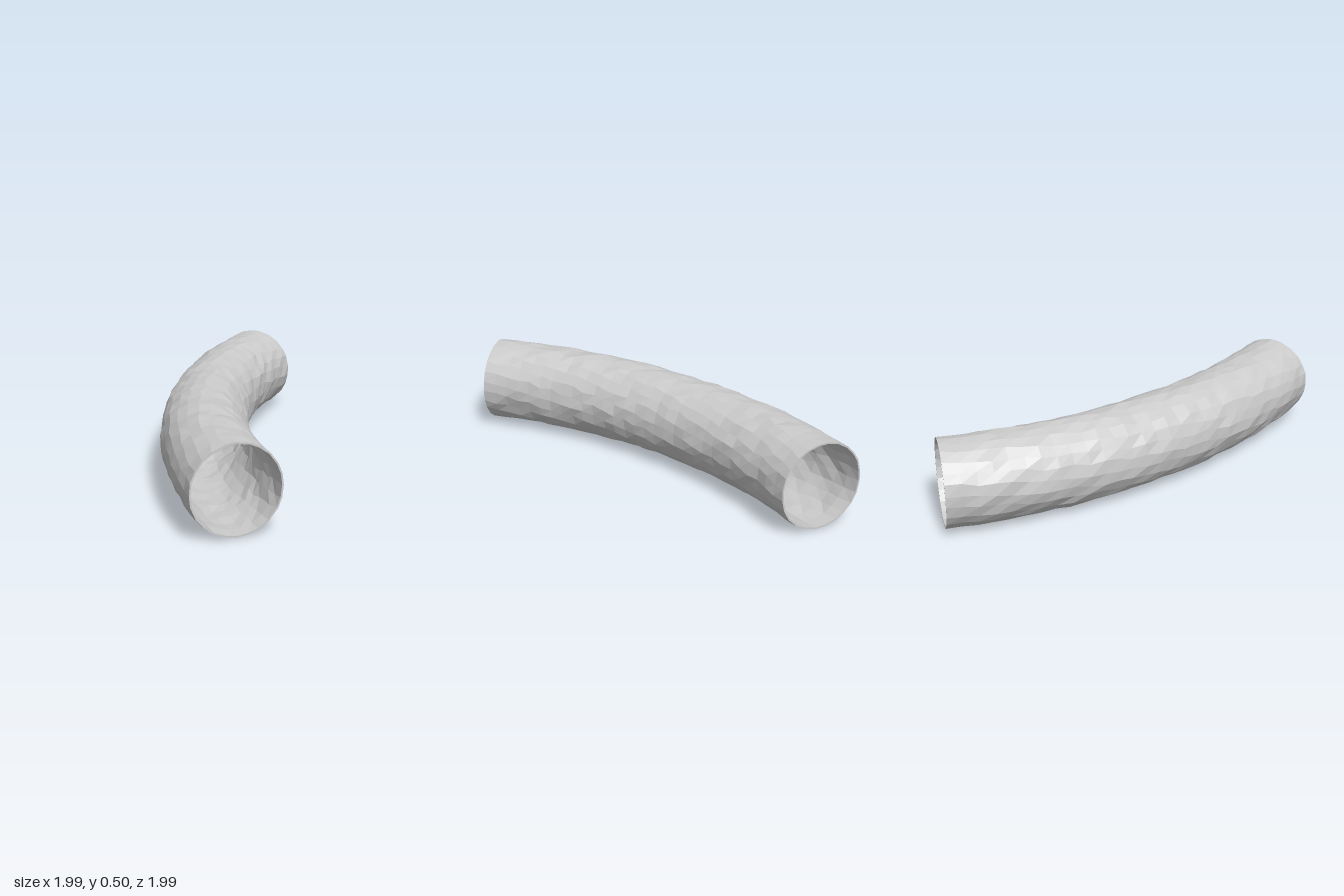
import * as THREE from 'three';
import { ParametricGeometry } from 'three/addons/geometries/ParametricGeometry.js';

const AROUND = 24, ALONG = 30;
const BEND = 3.104, CENTRE = 2.093, HEIGHT = 0.254;
const OUTER = 0.243, INNER = 0.234;

// Repeatable value from -1 to 1 for each grid point of the wall
function rough(i, j) {
  const s = Math.sin(i * 127.1 + j * 311.7) * 43758.5453;
  return (s - Math.floor(s)) * 2 - 1;
}

// Point on the bent pipe: u goes around, v along, r is the nominal radius
function pipePoint(u, v, r, target) {
  const j = Math.round(u * AROUND) % AROUND, i = Math.round(v * ALONG);
  const dent = i === 0 || i === ALONG ? 0.002 : 0.006;
  const radius = r + dent * rough(i, j);
  // facets drift slowly around the pipe
  const a = (j / AROUND) * Math.PI * 2 + v * 1.2 + 0.04 * rough(j + 50, i);
  const bend = Math.PI / 8 + v * Math.PI / 4;
  const d = BEND + radius * Math.cos(a);
  target.set(CENTRE - d * Math.cos(bend), HEIGHT + radius * Math.sin(a), CENTRE - d * Math.sin(bend));
}

export function createModel() {
  const group = new THREE.Group();
  group.name = 'bentPipe';
  const material = new THREE.MeshStandardMaterial({
    color: 0xcccccc, flatShading: true, side: THREE.DoubleSide,
  });
  const add = (name, geometry) => {
    const mesh = new THREE.Mesh(geometry, material);
    mesh.name = name;
    group.add(mesh);
  };

  // Outer and inner walls
  for (const [name, r] of [['outerWall', OUTER], ['innerWall', INNER]]) {
    add(name, new ParametricGeometry((u, v, p) => pipePoint(u, v, r, p), AROUND, ALONG));
  }
  // Rims joining the walls at both open ends
  for (const [name, end] of [['frontRim', 0], ['backRim', 1]]) {
    add(name, new ParametricGeometry(
      (u, v, p) => pipePoint(u, end, v < 0.5 ? INNER : OUTER, p), AROUND, 1));
  }
  return group;
}
